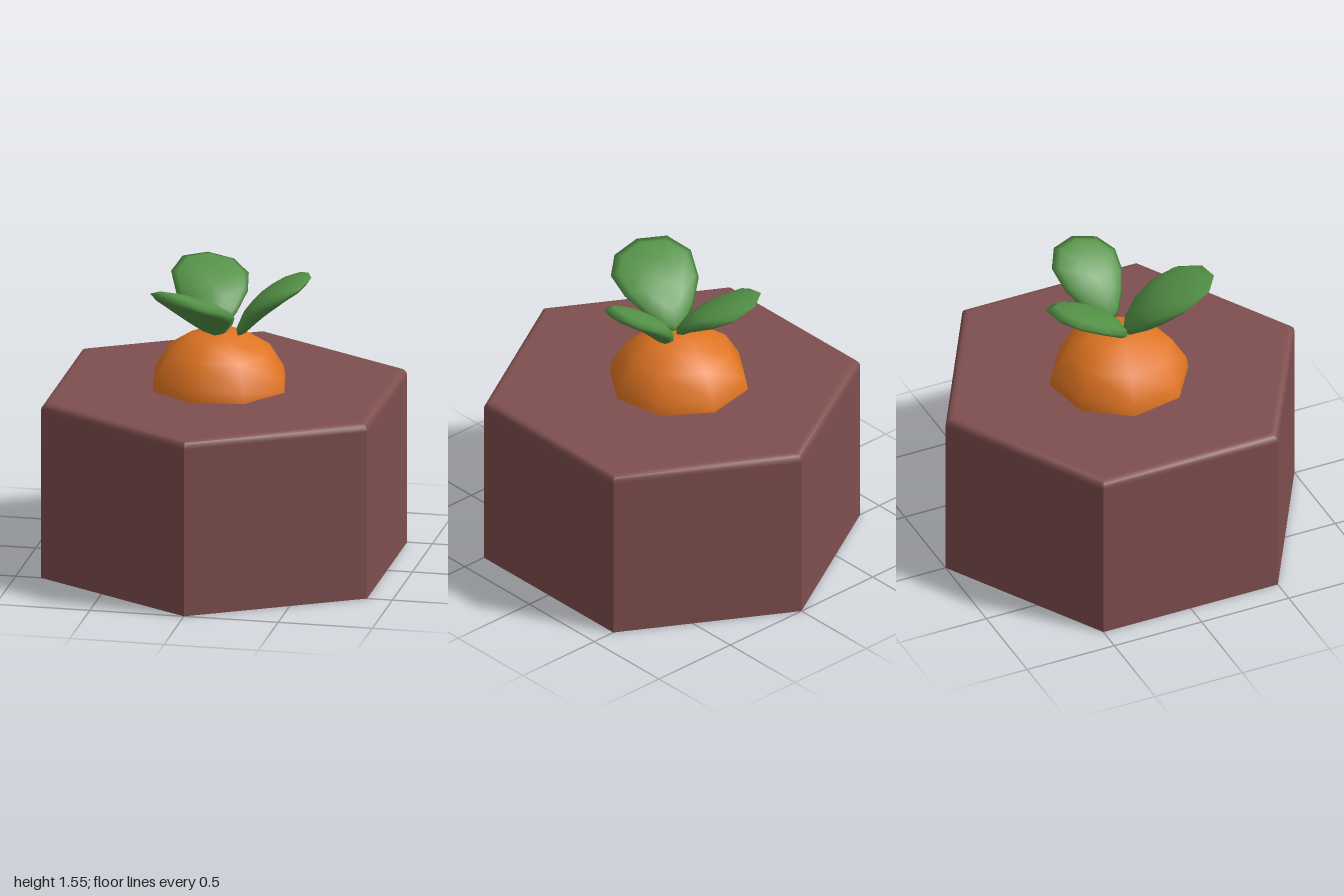
import * as THREE from 'three';
import { mergeVertices, toCreasedNormals } from 'three/addons/utils/BufferGeometryUtils.js';

const V = (x, y, z) => new THREE.Vector3(x, y, z);

function material(name, color, extra = {}) {
  const m = new THREE.MeshStandardMaterial({ color, ...extra });
  m.name = name;
  return m;
}

function mesh(name, geometry, mat) {
  const m = new THREE.Mesh(geometry, mat);
  m.name = name;
  return m;
}

// A flattened sphere, narrowed at its base and swept along a curve
function leafGeometry(base, bend, tip, side, halfWidth, thickness) {
  const curve = new THREE.QuadraticBezierCurve3(base, bend, tip);
  const g = new THREE.SphereGeometry(1, 12, 6);
  const pos = g.attributes.position;
  for (let i = 0; i < pos.count; i++) {
    const t = THREE.MathUtils.clamp((pos.getZ(i) + 1) / 2, 0, 1);
    const tangent = curve.getTangent(t);
    const across = side.clone().addScaledVector(tangent, -side.dot(tangent)).normalize();
    const normal = tangent.clone().cross(across);
    const p = curve.getPoint(t)
      .addScaledVector(across, pos.getX(i) * halfWidth * (0.44 + 0.94 * t))
      .addScaledVector(normal, pos.getY(i) * thickness);
    pos.setXYZ(i, p.x, p.y, p.z);
  }
  g.deleteAttribute('uv');
  g.deleteAttribute('normal');
  const smooth = mergeVertices(g, 1e-4);
  smooth.computeVertexNormals();
  return smooth;
}

export function createModel() {
  const group = new THREE.Group();
  const soil = material('soil brown', 0x7f4f4f, { side: THREE.DoubleSide });
  const orange = material('carrot orange', 0xe07522, { side: THREE.DoubleSide });
  const green = material('leaf green', 0x549347);

  // Hexagonal soil block: hollow, open below, with a rounded top rim
  const top = 0.95, bevel = 0.04;
  const profile = [new THREE.Vector2(1, 0), new THREE.Vector2(1, top - bevel - 0.005)];
  for (let i = 0; i <= 4; i++) {
    const a = (i / 4) * Math.PI / 2;
    profile.push(new THREE.Vector2(
      1 - 1.155 * bevel * (1 - Math.cos(a)), top - bevel * (1 - Math.sin(a))));
  }
  profile.push(new THREE.Vector2(0.945, top), new THREE.Vector2(0, top));
  const block = new THREE.LatheGeometry(profile, 6);
  group.add(mesh('soilBlock', toCreasedNormals(block, 0.7), soil));

  // Carrot shoulder rising out of the soil
  const dome = [[0.372, 0.93], [0.37, 0.95], [0.36, 1.01], [0.28, 1.14], [0.155, 1.22], [0, 1.243]]
    .map(([r, y]) => new THREE.Vector2(r, y));
  const carrotGeometry = new THREE.LatheGeometry(dome, 8, THREE.MathUtils.degToRad(33));
  const carrot = mesh('carrotTop', toCreasedNormals(carrotGeometry, 1.0), orange);
  carrot.position.set(-0.03, 0, -0.02);
  group.add(carrot);

  // Three leaves spreading from the crown
  const leaves = [
    ['rightLeaf', V(0.07, 1.22, -0.01), V(0.17, 1.43, -0.06), V(0.45, 1.545, -0.065), V(0, 0.06, -1), 0.19],
    ['frontLeaf', V(-0.03, 1.22, 0.01), V(-0.08, 1.43, 0.12), V(-0.17, 1.535, 0.46), V(1, -0.22, 0.05), 0.23],
    ['backLeaf', V(-0.04, 1.22, -0.01), V(-0.09, 1.42, -0.12), V(-0.18, 1.53, -0.445), V(-1, 0.18, 0.05), 0.205],
  ];
  for (const [name, base, bend, tip, side, width] of leaves) {
    group.add(mesh(name, leafGeometry(base, bend, tip, side, width, 0.05), green));
  }
  return group;
}
